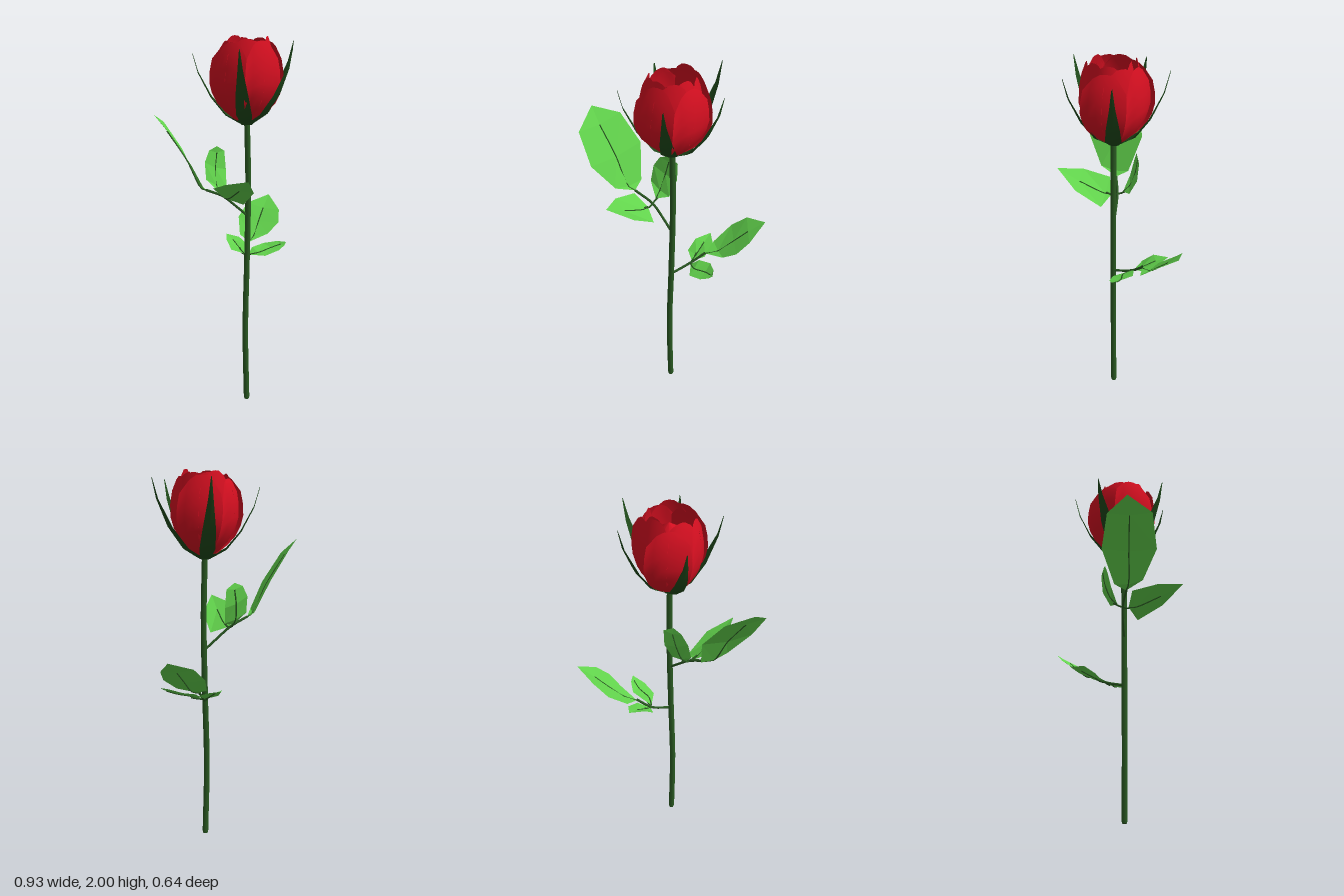
import * as THREE from 'three';

const mat = (color, flat = false) => new THREE.MeshStandardMaterial({ color, side: THREE.DoubleSide, flatShading: flat });
const stemMat = mat(0x2a5a22), sepalMat = mat(0x1f4a1a), leafMat = mat(0x62d34c, true), petalMat = mat(0xd40f20);
const V = (p) => new THREE.Vector3(...p);
const CX = 0.08, CZ = 0.02; // flower axis

// Surface through rows of points, all rows of equal length
function loft(rows) {
  const n = rows[0].length, index = [];
  for (let j = 0; j < rows.length - 1; j++)
    for (let i = 0; i < n - 1; i++) {
      const a = j * n + i, b = a + n;
      index.push(a, a + 1, b, a + 1, b + 1, b);
    }
  const g = new THREE.BufferGeometry();
  g.setAttribute('position', new THREE.Float32BufferAttribute(rows.flat(2), 3));
  g.setIndex(index);
  g.computeVertexNormals();
  return g;
}

function add(parent, name, geometry, material) {
  const m = new THREE.Mesh(geometry, material);
  m.name = name;
  parent.add(m);
  return m;
}

function tube(parent, name, pts, r, sides = 5) {
  const curve = new THREE.CatmullRomCurve3(pts.map(V));
  return add(parent, name, new THREE.TubeGeometry(curve, pts.length * 3, r, sides), stemMat);
}

// Leaf from its base, pairs of edge points and its tip, with a sunken midrib
function leaf(parent, name, base, pairs, tip, sag) {
  const ribs = pairs.map(([l, r]) => l.map((v, k) => (v + r[k]) / 2 - (k === 1 ? sag : 0)));
  const rows = [[base, base, base], ...pairs.map(([l, r], i) => [l, ribs[i], r]), [tip, tip, tip]];
  const g = new THREE.Group();
  g.name = name;
  add(g, 'leafBlade', loft(rows), leafMat);
  tube(g, 'leafVein', [base, ...ribs], 0.004, 4);
  parent.add(g);
}

// Petal: bulging patch around the flower axis, one edge lying outside its neighbour
function petal(parent, name, angle, span, radius, top, spiral, dip) {
  const profile = new THREE.CatmullRomCurve3([
    [0.12, 1.535, 0], [0.52, 1.59, 0], [0.88, 1.68, 0], [1, 1.77, 0], [0.93, 1.88, 0], [0.74, top, 0],
  ].map(V));
  const rows = [];
  for (let j = 0; j <= 7; j++) {
    const row = [];
    for (let i = 0; i <= 6; i++) {
      const u = i / 3 - 1;
      const p = profile.getPoint((j / 7) * (1 - dip * Math.abs(u) ** 3));
      const a = angle + u * span * (1 - 0.12 * (j / 7) ** 2);
      const r = radius * p.x * (1 + spiral * u + 0.1 * u * u);
      row.push([CX + r * Math.cos(a), p.y, CZ + r * Math.sin(a)]);
    }
    rows.push(row);
  }
  add(parent, name, loft(rows), petalMat);
}

export function createModel() {
  const model = new THREE.Group();
  model.name = 'rose';

  // Stem with a cut end
  tube(model, 'stem', [[0.08, 0.01, 0.025], [0.07, 0.4, 0.025], [0.08, 0.8, 0.025], [0.087, 1.2, 0.025], [0.08, 1.55, 0.022]], 0.016, 7);
  const cut = add(model, 'stemCut', new THREE.CylinderGeometry(0.015, 0.013, 0.02, 7), stemMat);
  cut.position.set(0.08, 0.01, 0.025);

  // Upper leaf spray
  const upper = new THREE.Group();
  upper.name = 'upperLeaves';
  model.add(upper);
  tube(upper, 'branch', [[0.08, 1.04, 0.025], [0.01, 1.1, 0.01], [-0.06, 1.155, 0.0], [-0.17, 1.2, 0.005]], 0.007);
  tube(upper, 'leafStalk', [[-0.06, 1.155, 0], [-0.06, 1.15, 0.03], [-0.07, 1.16, 0.06]], 0.005);
  tube(upper, 'leafStalk', [[-0.06, 1.155, 0], [-0.06, 1.16, -0.02], [-0.05, 1.18, -0.05]], 0.005);
  leaf(upper, 'largeLeaf', [-0.17, 1.2, 0.005], [
    [[-0.175, 1.23, -0.06], [-0.24, 1.23, 0.085]],
    [[-0.23, 1.41, -0.135], [-0.35, 1.36, 0.145]],
    [[-0.35, 1.56, -0.12], [-0.45, 1.52, 0.11]],
  ], [-0.465, 1.61, -0.025], 0.015);
  leaf(upper, 'frontLeaf', [-0.07, 1.15, 0.03], [
    [[-0.15, 1.21, 0.04], [0.01, 1.115, 0.09]],
    [[-0.17, 1.25, 0.18], [-0.02, 1.2, 0.225]],
  ], [-0.125, 1.28, 0.32], 0.01);
  leaf(upper, 'backLeaf', [-0.06, 1.17, -0.03], [
    [[-0.12, 1.24, -0.07], [0.005, 1.19, -0.06]],
    [[-0.115, 1.33, -0.09], [0.028, 1.28, -0.1]],
    [[-0.08, 1.39, -0.1], [0.025, 1.38, -0.11]],
  ], [-0.03, 1.41, -0.1], 0.01);

  // Lower leaf spray
  const lower = new THREE.Group();
  lower.name = 'lowerLeaves';
  model.add(lower);
  tube(lower, 'branch', [[0.085, 0.76, 0.02], [0.14, 0.795, -0.07], [0.2, 0.855, -0.125]], 0.007);
  tube(lower, 'leafStalk', [[0.14, 0.795, -0.07], [0.14, 0.8, -0.1], [0.142, 0.825, -0.13]], 0.005);
  tube(lower, 'leafStalk', [[0.14, 0.795, -0.07], [0.17, 0.8, -0.06], [0.2, 0.805, -0.04]], 0.005);
  leaf(lower, 'largeLeaf', [0.2, 0.85, -0.125], [
    [[0.2, 0.88, -0.21], [0.32, 0.885, -0.11]],
    [[0.255, 0.96, -0.3], [0.4, 0.94, -0.115]],
    [[0.335, 1.03, -0.325], [0.445, 1.0, -0.17]],
  ], [0.465, 1.07, -0.295], 0.01);
  leaf(lower, 'backLeaf', [0.14, 0.8, -0.085], [
    [[0.085, 0.82, -0.13], [0.2, 0.83, -0.12]],
    [[0.095, 0.865, -0.19], [0.195, 0.865, -0.21]],
  ], [0.145, 0.88, -0.265], 0.008);
  leaf(lower, 'frontLeaf', [0.15, 0.797, -0.06], [
    [[0.19, 0.83, -0.08], [0.2, 0.8, 0.03]],
    [[0.265, 0.845, -0.075], [0.28, 0.825, 0.05]],
    [[0.32, 0.86, -0.02], [0.325, 0.845, 0.04]],
  ], [0.345, 0.86, 0.03], 0.006);

  // Flower: receptacle, bud and overlapping rings of petals
  const flower = new THREE.Group();
  flower.name = 'flower';
  model.add(flower);
  const cup = add(flower, 'receptacle', new THREE.CylinderGeometry(0.06, 0.03, 0.03, 10), sepalMat);
  cup.position.set(CX, 1.545, CZ);
  const budProfile = [[0.02, 1.56], [0.07, 1.68], [0.085, 1.8], [0.06, 1.89], [0.001, 1.93]];
  const bud = add(flower, 'bud', new THREE.LatheGeometry(budProfile.map(([x, y]) => new THREE.Vector2(x, y)), 10), petalMat);
  bud.position.set(CX, 0, CZ);
  const rings = [
    ['outerPetal', 5, 0.176, 1.975, 0.72, 1.57, 0.2],
    ['middlePetal', 5, 0.152, 1.995, 0.74, 0.95, 0.16],
    ['innerPetal', 4, 0.115, 1.985, 0.9, 0.3, 0.12],
  ];
  for (const [name, count, radius, top, span, start, dip] of rings)
    for (let k = 0; k < count; k++)
      petal(flower, name, start + (k * 2 * Math.PI) / count, span, radius, top - 0.012 * (k % 3), 0.06, dip);

  // Sepals: keeled strips curving up to five tips [x, y, z]
  const reach = [0.1, 0.38, 0.66, 0.9, 1], rise = [0, 0.12, 0.38, 0.73, 1], half = [0.03, 0.042, 0.034, 0.014, 0.002];
  for (const [x, y, z] of [[0.38, 1.96, 0.035], [0.19, 1.93, 0.27], [-0.11, 1.93, 0.22], [-0.15, 1.9, -0.15], [0.19, 1.97, -0.25]]) {
    const dx = x - CX, dz = z - CZ, len = Math.hypot(dx, dz);
    const rows = reach.map((f, i) => [-1, 0, 1].map((s) => {
      const out = f + (s ? 0 : 0.03 * (1 - f)), w = (s * half[i]) / len;
      return [CX + dx * out - dz * w, 1.535 + (y - 1.535) * rise[i] + (s ? 0.008 : 0), CZ + dz * out + dx * w];
    }));
    add(flower, 'sepal', loft(rows), sepalMat);
  }
  return model;
}
